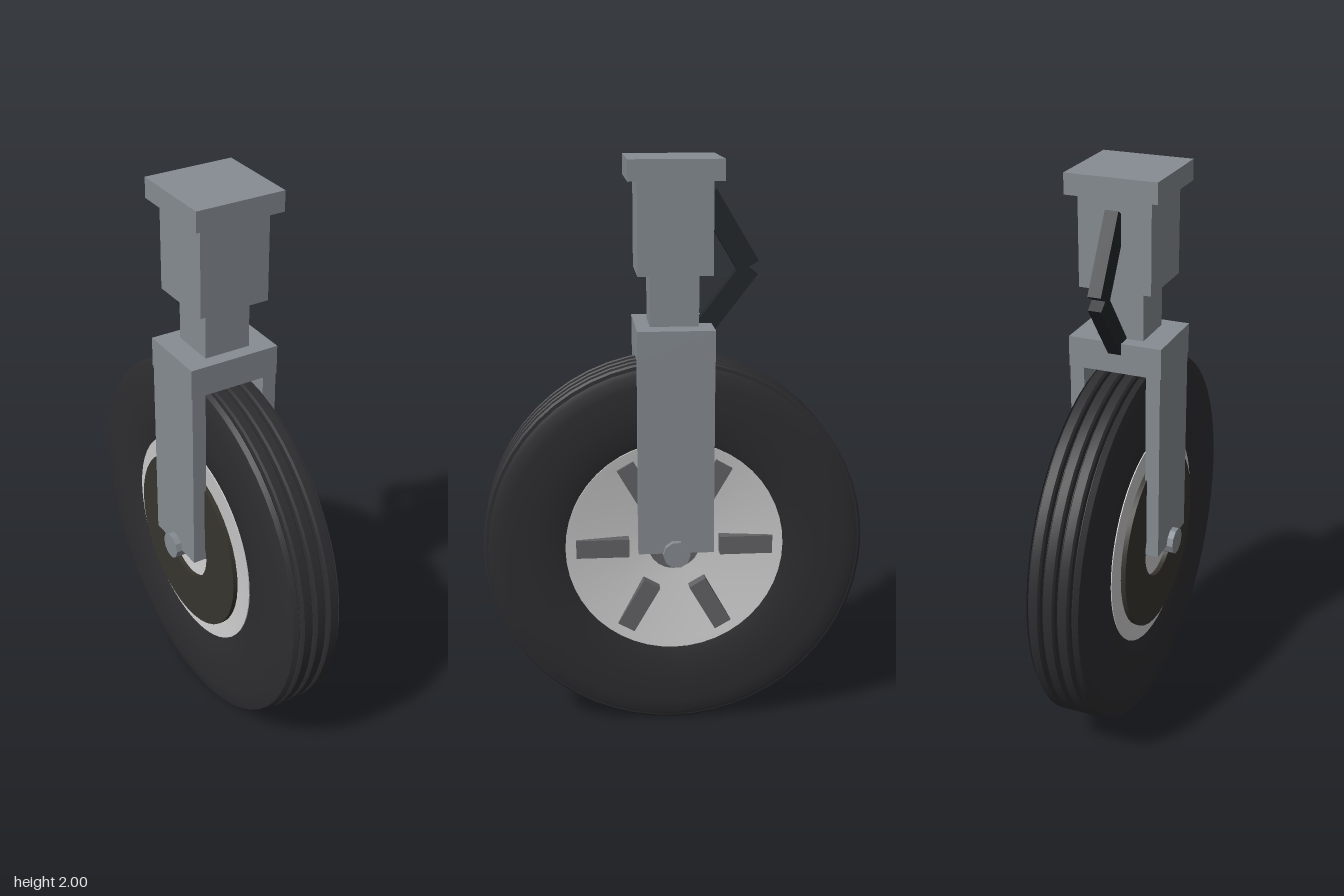
import * as THREE from 'three';
import { toCreasedNormals } from 'three/addons/utils/BufferGeometryUtils.js';

const AXLE_Y = 0.665;
const mat = (color) => new THREE.MeshStandardMaterial({ color });

export function createModel() {
  const model = new THREE.Group();
  model.name = 'landingGear';
  const metal = mat(0x868c92), rubber = mat(0x2d2c2f), alloy = mat(0xcccccc);
  const darkMetal = mat(0x626266), brakeMetal = mat(0x37342d), black = mat(0x23272a);

  const add = (parent, name, geometry, material, x = 0, y = 0, z = 0) => {
    const mesh = new THREE.Mesh(geometry, material);
    mesh.name = name;
    mesh.position.set(x, y, z);
    parent.add(mesh);
    return mesh;
  };
  const box = (name, w, h, d, x, y, z) =>
    add(model, name, new THREE.BoxGeometry(w, h, d), metal, x, y, z);

  // Strut stack
  box('mountPlate', 0.317, 0.07, 0.317, 0, 1.965, 0);
  box('upperStrut', 0.252, 0.31, 0.252, 0, 1.775, 0);
  box('lowerStrut', 0.166, 0.18, 0.166, 0, 1.535, 0);

  // Fork
  box('forkCrown', 0.328, 0.105, 0.262, 0, 1.392, 0);
  for (const s of [1, -1]) {
    box(s > 0 ? 'leftForkLeg' : 'rightForkLeg', 0.05, 0.685, 0.26, s * 0.136, 1.0075, 0);
  }

  // Folding links behind the strut, each given by its ends [z, y]
  const link = (name, a, b, thickness) => {
    const dz = b[0] - a[0], dy = b[1] - a[1];
    const mesh = add(model, name, new THREE.BoxGeometry(0.046, Math.hypot(dz, dy), thickness),
      black, 0, (a[1] + b[1]) / 2, (a[0] + b[0]) / 2);
    mesh.rotation.x = Math.atan2(dz, dy);
  };
  link('upperLink', [-0.257, 1.634], [-0.114, 1.873], 0.078);
  link('lowerLink', [-0.262, 1.628], [-0.105, 1.425], 0.066);

  // Wheel: everything that turns about the x axis
  const wheel = new THREE.Group();
  wheel.name = 'wheel';
  wheel.position.y = AXLE_Y;
  model.add(wheel);
  const turned = (name, points, material, segments = 48) => {
    const profile = points.map(([r, x]) => new THREE.Vector2(r, x));
    const geometry = new THREE.LatheGeometry(profile, segments).rotateZ(-Math.PI / 2);
    return add(wheel, name, toCreasedNormals(geometry, 0.5), material);
  };

  // Tire with grooves cut around the tread
  const R = 0.665;
  const side = [[0.38, 0.088], [0.42, 0.1], [0.5, 0.106], [0.59, 0.105], [0.632, 0.1]];
  const tread = [[0.656, -0.093]];
  for (const g of [-0.066, -0.0145, 0.037, 0.0885]) {
    const top = g > 0.08 ? 0.656 : R;
    tread.push([R, g - 0.011], [R - 0.007, g - 0.006], [R - 0.025, g - 0.004],
      [R - 0.025, g + 0.003], [top - 0.008, g + 0.005]);
    if (g < 0.08) tread.push([R, g + 0.011]);
  }
  turned('tire', [
    ...side.map(([r, x]) => [r, -x]),
    ...tread,
    ...side.slice().reverse(),
    [0.38, -0.088],
  ], rubber, 56);

  // Dished rim and hub
  turned('rim', [[0.03, -0.048], [0.12, -0.052], [0.36, -0.09], [0.382, -0.092],
    [0.382, 0.095], [0.36, 0.092], [0.12, 0.052], [0.03, 0.048]], alloy);
  turned('hub', [[0.001, -0.062], [0.093, -0.062], [0.093, 0.062], [0.001, 0.062]], darkMetal, 20);

  // Raised spokes on the outer face
  for (let i = 0; i < 6; i++) {
    const a = (i * Math.PI) / 3;
    const spoke = add(wheel, 'spoke', new THREE.BoxGeometry(0.045, 0.065, 0.185), darkMetal,
      0.078, Math.sin(a) * 0.252, Math.cos(a) * 0.252);
    spoke.rotation.x = -a;
  }

  // Brake disc on the other side
  turned('brakeDisc', [[0.14, -0.117], [0.322, -0.117], [0.322, -0.1], [0.14, -0.1],
    [0.14, -0.117]], brakeMetal, 40);

  // Axle
  const axle = new THREE.CylinderGeometry(0.047, 0.047, 0.366, 10).rotateZ(Math.PI / 2);
  add(wheel, 'axle', toCreasedNormals(axle, 0.4), metal);

  return model;
}
